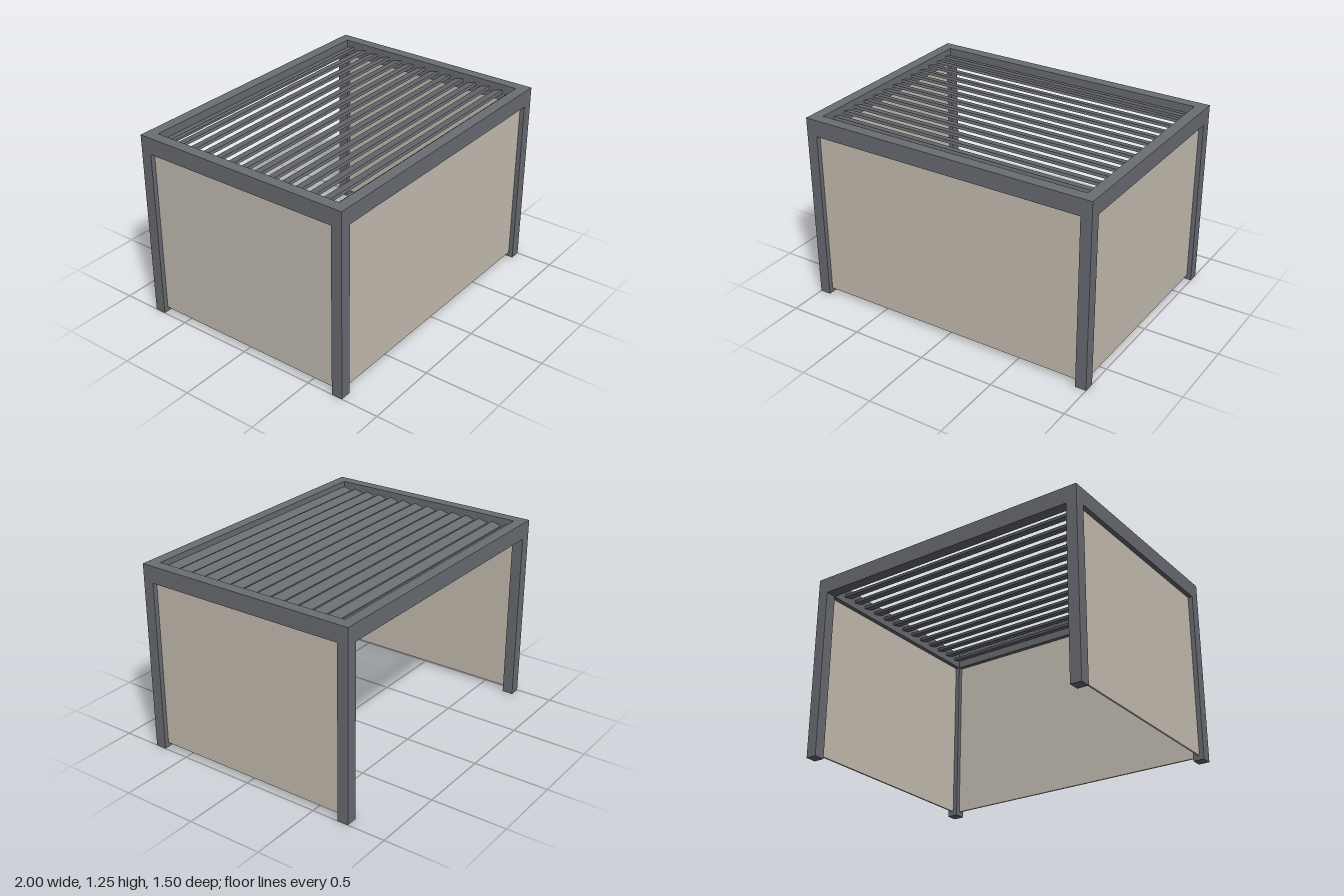
import * as THREE from 'three';

const W = 2, D = 1.5, H = 1.25;   // overall size
const POST = 0.073;               // post and beam width
const BEAM_Y = 1.14;              // underside of the roof frame
const SCREEN_Y = 0.03;            // lower edge of the screens

export function createModel() {
  const model = new THREE.Group();
  model.name = 'pergola';

  const frameMat = new THREE.MeshStandardMaterial({ color: 0x6a6d73 });
  const screenMat = new THREE.MeshStandardMaterial({ color: 0xc8c0b4 });

  const box = (name, mat, w, h, d, x, y, z) => {
    const mesh = new THREE.Mesh(new THREE.BoxGeometry(w, h, d), mat);
    mesh.name = name;
    mesh.position.set(x, y, z);
    model.add(mesh);
    return mesh;
  };

  // Corner posts
  for (const sx of [-1, 1]) {
    for (const sz of [-1, 1]) {
      const name = (sz > 0 ? 'front' : 'back') + (sx > 0 ? 'Left' : 'Right') + 'Post';
      box(name, frameMat, POST, BEAM_Y, POST,
        sx * (W - POST) / 2, BEAM_Y / 2, sz * (D - POST) / 2);
    }
  }

  // Roof frame: a rectangular ring of beams
  const rect = (T, w, d) => new T([
    new THREE.Vector2(-w / 2, -d / 2), new THREE.Vector2(w / 2, -d / 2),
    new THREE.Vector2(w / 2, d / 2), new THREE.Vector2(-w / 2, d / 2),
  ]);
  const ring = rect(THREE.Shape, W, D);
  ring.holes.push(rect(THREE.Path, W - 2 * POST, D - 2 * POST));
  const frameGeo = new THREE.ExtrudeGeometry(ring, { depth: H - BEAM_Y, bevelEnabled: false });
  frameGeo.rotateX(-Math.PI / 2);
  const frame = new THREE.Mesh(frameGeo, frameMat);
  frame.name = 'roofFrame';
  frame.position.y = BEAM_Y;
  model.add(frame);

  // Tilted roof louvres, front edge raised
  const count = 14, pitch = 0.1;
  for (let i = 0; i < count; i++) {
    const slat = box('louvre', frameMat, W - 2 * POST, 0.018, 0.068,
      0, 1.195, (i - (count - 1) / 2) * pitch);
    slat.rotation.x = -THREE.MathUtils.degToRad(15);
  }

  // Fabric screens on the front and both sides, the back stays open
  const sh = BEAM_Y - SCREEN_Y, sy = (BEAM_Y + SCREEN_Y) / 2, thick = 0.012;
  box('frontScreen', screenMat, W - 2 * POST, sh, thick, 0, sy, (D - POST) / 2);
  for (const s of [-1, 1]) {
    box(s > 0 ? 'leftScreen' : 'rightScreen', screenMat, thick, sh, D - 2 * POST,
      s * (W - POST) / 2, sy, 0);
  }

  return model;
}
